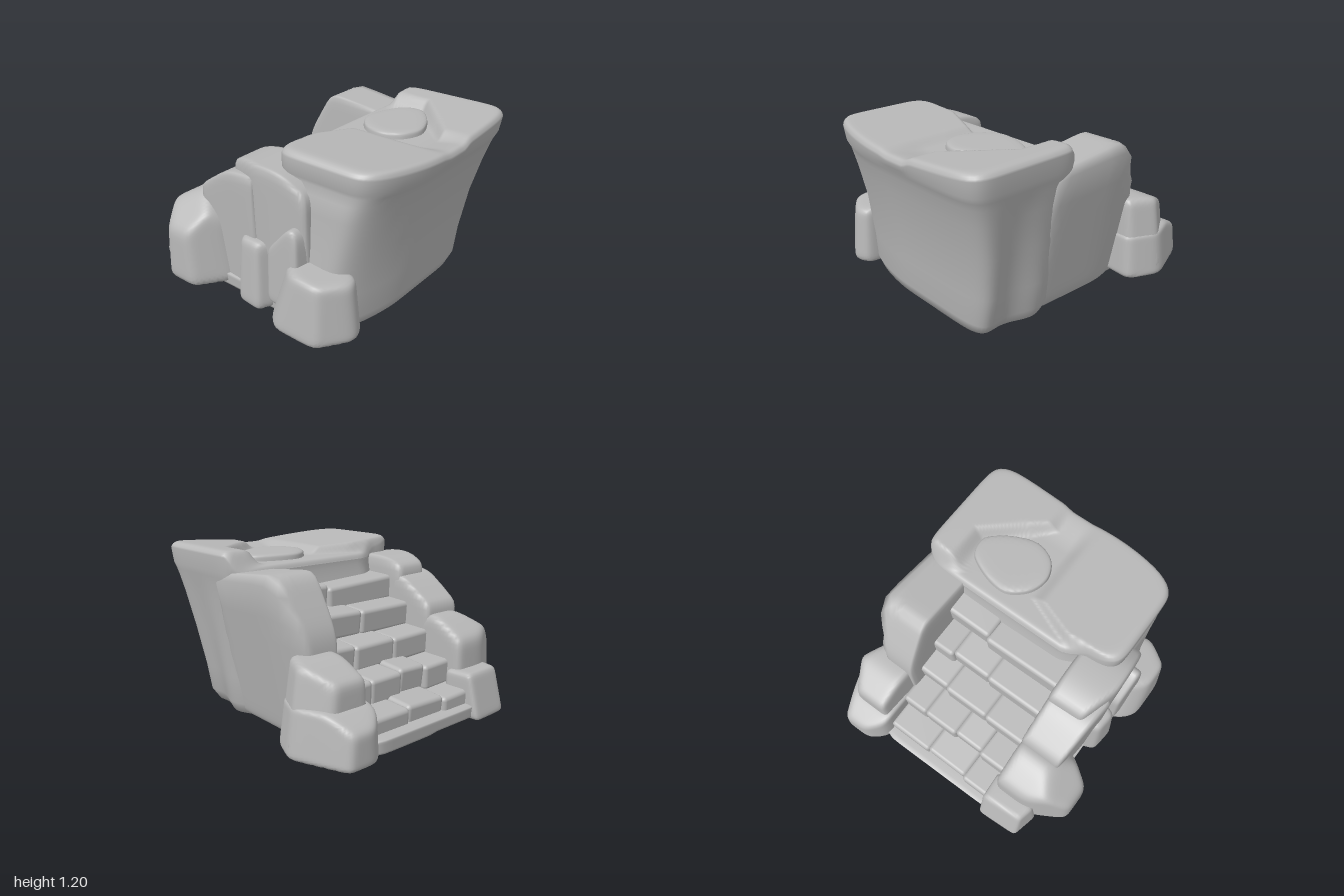
import * as THREE from 'three';
import { mergeVertices } from 'three/addons/utils/BufferGeometryUtils.js';
import { RoundedBoxGeometry } from 'three/addons/geometries/RoundedBoxGeometry.js';

const stone = new THREE.MeshStandardMaterial({ color: 0xb8b8b8 });
stone.name = 'grey stone';

const smooth = THREE.MathUtils.smoothstep;

function addMesh(group, name, geometry) {
  const mesh = new THREE.Mesh(geometry, stone);
  mesh.name = name;
  group.add(mesh);
  return mesh;
}

// Rounded convex rock: an [x, z] outline at the foot, leaning sides, a tilted top
// and extra cutting planes [nx, ny, nz, px, py, pz], blended into soft edges.
function rockGeometry({ outline, y0, y1, lean = 0.05, tilt = [0, 0], cuts = [], p = 15, seg = 18 }) {
  const n = outline.length;
  const xs = outline.map(q => q[0]), zs = outline.map(q => q[1]);
  const c = new THREE.Vector3(
    xs.reduce((a, b) => a + b) / n, (y0 + y1) / 2, zs.reduce((a, b) => a + b) / n);
  const half = [
    (Math.max(...xs) - Math.min(...xs)) / 2, (y1 - y0) / 2, (Math.max(...zs) - Math.min(...zs)) / 2];
  const planes = [];
  const plane = (nx, ny, nz, px, py, pz) => {
    const h = nx * (px - c.x) + ny * (py - c.y) + nz * (pz - c.z);
    planes.push([nx / h, ny / h, nz / h]);
  };
  outline.forEach(([ax, az], i) => {
    const [bx, bz] = outline[(i + 1) % n];
    const len = Math.hypot(bx - ax, bz - az);
    let nx = (bz - az) / len, nz = (ax - bx) / len;
    if (nx * (ax - c.x) + nz * (az - c.z) < 0) { nx = -nx; nz = -nz; }
    plane(nx, Array.isArray(lean) ? lean[i] : lean, nz, ax, y0, az);
  });
  plane(-tilt[0], 1, -tilt[1], c.x, y1, c.z);
  plane(0, -1, 0, c.x, y0, c.z);
  cuts.forEach(k => plane(...k));

  let g = new THREE.BoxGeometry(2, 2, 2, seg, seg, seg);
  g.deleteAttribute('uv');
  g.deleteAttribute('normal');
  g = mergeVertices(g, 1e-4);
  const pos = g.attributes.position;
  for (let i = 0; i < pos.count; i++) {
    const d = [pos.getX(i) * half[0], pos.getY(i) * half[1], pos.getZ(i) * half[2]];
    let sum = 0;
    for (const q of planes) sum += Math.max(0, q[0] * d[0] + q[1] * d[1] + q[2] * d[2]) ** p;
    const r = sum ** (-1 / p);
    pos.setXYZ(i, c.x + d[0] * r, c.y + d[1] * r, c.z + d[2] * r);
  }
  g.computeVertexNormals();
  return g;
}

// Height of the upper platform: raised front slab, raised back lip, low floor and rim
function platformHeight(x, z) {
  const inside = smooth(x, 0.13, 0.21);
  const front = inside * smooth(z - Math.max(0, 0.3 - x) * 2.5, -0.06, 0.06);
  const edge = -0.6 + THREE.MathUtils.clamp((x - 0.45) * 1.05, 0, 0.37);
  const back = inside * smooth(edge - z, -0.05, 0.05);
  const floor = 1.1 + 0.04 * smooth(x, 0.7, 1);
  const y = THREE.MathUtils.lerp(floor, 1.15 + 0.08 * z, front);
  return THREE.MathUtils.lerp(y, 1.15 - 0.075 * z, back);
}

// Flared cliff block: rounded-rectangle rings [y, x0, x1, z0, z1] and a sculpted cap
function cliffGeometry() {
  const levels = [
    [0.0, -0.1, 0.72, -0.58, 0.63], [0.02, -0.1, 0.77, -0.63, 0.69], [0.1, -0.1, 0.8, -0.67, 0.74],
    [0.3, -0.08, 0.81, -0.7, 0.73], [0.6, 0.0, 0.85, -0.745, 0.7], [0.85, 0.08, 0.91, -0.785, 0.69],
    [0.97, 0.1, 0.945, -0.81, 0.69], [1.02, 0.11, 0.965, -0.82, 0.66],
    [1.06, 0.11, 0.985, -0.83, 0.69]];
  const N = 160, CAP = 44, top = [1.12, 0.11, 1.0, -0.84, 0.695];
  const verts = [], index = [];
  const ring = ([y, x0, x1, z0, z1], s, capped) => {
    for (let i = 0; i < N; i++) {
      const a = (i / N) * Math.PI * 2, ca = Math.cos(a), sa = Math.sin(a);
      const r = s / (Math.abs(ca) ** 8 + Math.abs(sa) ** 8) ** (1 / 8);
      let x = (x0 + x1) / 2 + ca * r * (x1 - x0) / 2;
      let z = (z0 + z1) / 2 + sa * r * (z1 - z0) / 2;
      if (ca > 0) x -= 0.4 * s * ca * Math.max(0, z - 0.1) ** 2;
      else x -= 0.08 * s * ca * smooth(z, 0.3, 0.5);
      if (sa < 0) z += 0.035 * s * Math.sin(x * 13) * Math.max(0, 1 - y) * -sa;
      const lift = Math.max(0, 1 - y / 0.3) * (0.03 * (0.72 - x) + 0.02 * (z + 0.6));
      verts.push(x, capped ? platformHeight(x, z) - 0.045 * s ** 40 : y + lift, z);
    }
  };
  ring(levels[0], 0.001, false);
  levels.forEach(l => ring(l, 1, false));
  for (let k = 0; k <= CAP; k++) ring(top, Math.max(0.001, 1 - (k / CAP) ** 1.25), true);
  const rows = verts.length / 3 / N;
  for (let j = 0; j < rows - 1; j++) {
    for (let i = 0; i < N; i++) {
      const a = j * N + i, b = j * N + (i + 1) % N;
      index.push(a, a + N, b, b, a + N, b + N);
    }
  }
  const g = new THREE.BufferGeometry();
  g.setAttribute('position', new THREE.Float32BufferAttribute(verts, 3));
  g.setIndex(index);
  g.computeVertexNormals();
  return g;
}

const rocks = {
  // ground slab and the mass under the stairs
  foundation: { outline: [[-0.89, -0.5], [-0.88, 0.5], [-0.7, 0.73], [0.5, 0.73], [0.68, 0.5], [0.64, -0.56], [-0.6, -0.62]],
    y0: -0.06, y1: 0.16, lean: -0.1, cuts: [[-0.03, -1, 0.02, 0, 0.034, 0]], p: 30 },
  stairCore: { outline: [[-0.8, -0.52], [-0.8, 0.52], [0.3, 0.52], [0.3, -0.52]],
    y0: 0.09, y1: 1.0, lean: 0, cuts: [[-0.88, 1, 0, -0.64, 0.22, 0]], p: 40 },
  // back row
  lowBackRock: { outline: [[-1.01, -0.82], [-1.01, -0.6], [-0.9, -0.49], [-0.42, -0.49], [-0.38, -0.86], [-0.62, -0.965]],
    y0: 0.08, y1: 0.4, lean: [0.02, 0.05, 0, 0.05, 0.12, 0.12], cuts: [[-0.5, 1, 0, -0.9, 0.36, 0]] },
  middleBackRock: { outline: [[-0.84, -0.83], [-0.84, -0.51], [-0.42, -0.49], [-0.4, -0.86], [-0.62, -0.96]],
    y0: 0.12, y1: 0.65, lean: [0.02, 0.04, 0.04, 0.14, 0.14], cuts: [[-0.5, 1, 0, -0.72, 0.6, 0]] },
  tallBackRock: { outline: [[-0.53, -0.62], [-0.53, -0.48], [0.34, -0.48], [0.34, -0.66], [-0.3, -0.68]],
    y0: 0.04, y1: 1.1, lean: [0, 0, 0, -0.18, -0.18], tilt: [-0.11, 0],
    cuts: [[-0.4, 0.23, 0, -0.53, 0.74, 0]], p: 17 },
  // front row
  lowFrontRock: { outline: [[-0.95, 0.4], [-0.93, 0.72], [-0.72, 0.77], [-0.66, 0.38]],
    y0: 0.05, y1: 0.37, lean: [0.25, 0.1, 0, 0], p: 11 },
  pointedFrontRock: { outline: [[-0.76, 0.42], [-0.76, 0.7], [-0.61, 0.955], [-0.36, 0.955], [-0.19, 0.7], [-0.19, 0.42]],
    y0: 0.08, y1: 0.72, lean: [0.02, 0.04, 0.02, 0.1, 0.16, 0],
    cuts: [[0, 0.22, 0.2, -0.5, 0.59, 0.83], [-0.15, 0.24, 0, -0.74, 0.58, 0.6], [0.2, 0.2, 0, -0.38, 0.66, 0.6]] },
  shoulderRock: { outline: [[-0.46, 0.42], [-0.46, 0.71], [-0.1, 0.74], [0.07, 0.75], [0.07, 0.42]],
    y0: 0.06, y1: 0.965, lean: [0, -0.03, -0.06, 0, 0], tilt: [0.06, 0], cuts: [[-0.15, 0.22, 0, -0.4, 0.81, 0.6]], p: 20 },
  tallFrontRock: { outline: [[-0.18, 0.42], [-0.17, 0.66], [0.08, 0.74], [0.2, 0.74], [0.48, 0.72], [0.48, 0.42]],
    y0: 0.06, y1: 1.08, lean: [0, -0.03, -0.04, -0.04, 0, 0],
    cuts: [[0.13, 0.2, 0, 0.34, 1.05, 0.6], [-0.12, 0.25, 0, -0.15, 1.03, 0.6]], p: 20 },
  leaningRock: { outline: [[0.17, 0.56], [0.2, 0.81], [0.47, 0.83], [0.5, 0.56]],
    y0: 0.15, y1: 0.76, lean: 0.02, cuts: [[-0.23, 0.2, 0, 0.22, 0.56, 0.7], [0.2, 0.14, 0, 0.47, 0.7, 0.7]], p: 13 },
  smallFrontRock: { outline: [[-0.16, 0.55], [-0.05, 0.83], [0.15, 0.85], [0.28, 0.56]],
    y0: 0.06, y1: 0.55, lean: 0.06, p: 10 },
  cornerRock: { outline: [[0.18, 0.6], [0.25, 0.84], [0.36, 0.935], [0.7, 0.935], [0.86, 0.7], [0.8, 0.58], [0.3, 0.58]],
    y0: 0.07, y1: 0.51, lean: [0.3, 0.25, 0.08, 0.08, 0.1, 0.05, 0], tilt: [-0.08, 0], p: 12 },
  // round stone lying in the platform hollow
  roundStone: { outline: [[0.2, -0.36], [0.19, -0.2], [0.3, -0.06], [0.46, -0.01], [0.61, -0.08], [0.67, -0.24], [0.6, -0.44], [0.46, -0.6], [0.3, -0.57]],
    y0: 1.0, y1: 1.145, lean: 0.1, p: 12, seg: 14 },
};

// Treads: x of the nose, top height, and z of the joints between stones
const treads = [
  [-0.83, 0.27, [-0.5, -0.15, 0.18, 0.46]],
  [-0.64, 0.44, [-0.5, -0.3, -0.03, 0.2, 0.46]],
  [-0.44, 0.61, [-0.5, -0.25, 0.1, 0.46]],
  [-0.25, 0.78, [-0.5, -0.32, -0.02, 0.46]],
  [-0.06, 0.95, [-0.53, -0.16, 0.46]],
];

export function createModel() {
  const group = new THREE.Group();
  group.name = 'rock stairs';
  addMesh(group, 'cliff', cliffGeometry());
  for (const [name, spec] of Object.entries(rocks)) addMesh(group, name, rockGeometry(spec));

  // stair stones, each slightly shifted and tilted
  const stairs = new THREE.Group();
  stairs.name = 'stairs';
  group.add(stairs);
  treads.forEach(([x, top, joints], s) => {
    for (let i = 0; i < joints.length - 1; i++) {
      const depth = joints[i + 1] - joints[i], wobble = Math.sin(s * 3.7 + i * 2.3);
      const block = addMesh(stairs, 'stairStone', new RoundedBoxGeometry(0.3, 0.18, depth + 0.01, 3, 0.03));
      block.position.set(x + 0.15 + wobble * 0.012, top - 0.09 + wobble * 0.012, (joints[i] + joints[i + 1]) / 2);
      block.rotation.set(wobble * 0.04, 0, 0.06 + wobble * 0.03);
    }
  });
  return group;
}
